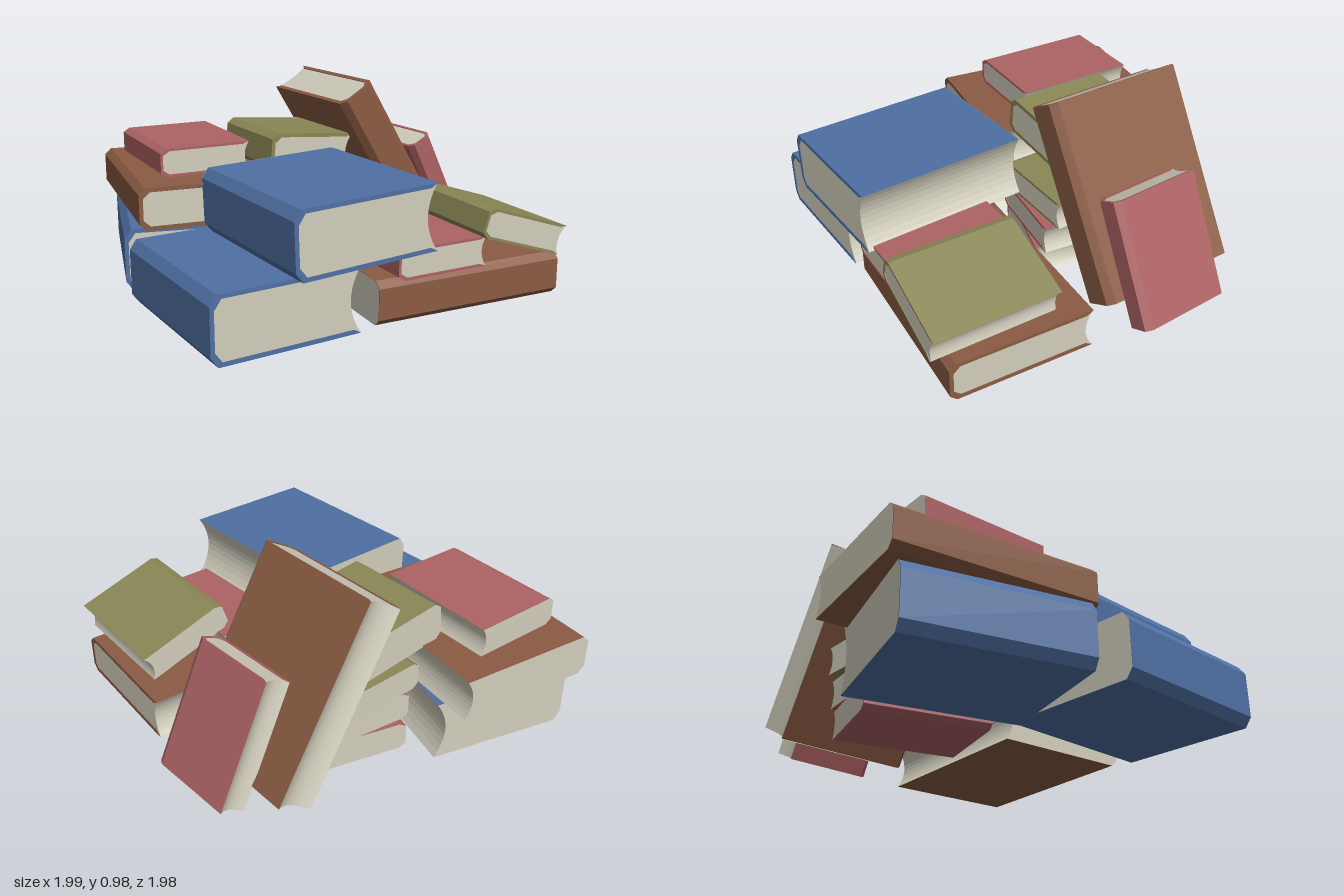
import * as THREE from 'three';

const mat = (name, color, side = THREE.FrontSide) => {
  const m = new THREE.MeshStandardMaterial({ color, side });
  m.name = name;
  return m;
};

// Half-outline of a book section: chamfered spine at -x, inset by t from the cover
function spineOutline(w, h, t) {
  const x = -w / 2 + t, y = h / 2 - t, cx = 0.034, cy = h * 0.15;
  return [[x + cx, y], [x, y - cy], [x, -y + cy], [x + cx, -y]];
}

// Hollow fore-edge, running from the bottom tip to the top tip
function foreEdge(w, h) {
  const pts = [], depth = h * 0.17, n = 10;
  for (let i = 0; i <= n; i++) {
    const s = -1 + (2 * i) / n;
    pts.push([w / 2 - depth * (1 - s * s), (s * h) / 2]);
  }
  return pts;
}

const toShape = (pts) => new THREE.Shape(pts.map(([x, y]) => new THREE.Vector2(x, y)));

function prism(shape, from, to) {
  const g = new THREE.ExtrudeGeometry(shape, { depth: to - from, bevelEnabled: false });
  return g.translate(0, 0, from);
}

// One book: spine at -x, thickness along y, head at +z, centred on its origin
function makeBook(name, [w, h, len], coverMat, pageMat) {
  const rim = h > 0.17 ? 0.02 : 0.013;
  const outer = spineOutline(w, h, 0);
  const inner = spineOutline(w, h, rim);
  const fore = foreEdge(w, h);
  const bottomTip = fore[0], topTip = fore[fore.length - 1];
  const innerTop = [w / 2 - 0.035, h / 2 - rim], innerBottom = [w / 2 - 0.035, -h / 2 + rim];

  const book = new THREE.Group();
  book.name = name;
  const add = (part, geo, m) => {
    const mesh = new THREE.Mesh(geo, m);
    mesh.name = part;
    book.add(mesh);
  };

  // cover wraps both boards and the spine
  const wrap = [topTip, ...outer, bottomTip, innerBottom, ...inner.slice().reverse(), innerTop];
  add('cover', prism(toShape(wrap), -len / 2, len / 2), coverMat);

  // page block with hollow fore-edge
  const block = [...fore, innerTop, ...inner, innerBottom];
  add('pages', prism(toShape(block), -len / 2, len / 2 - 0.004), pageMat);

  // plain page-coloured tail end
  const tail = new THREE.ShapeGeometry(toShape([...fore, ...outer]));
  add('tailEnd', tail.translate(0, 0, -len / 2 - 0.002), pageMat);
  return book;
}

export function createModel() {
  const root = new THREE.Group();
  root.name = 'bookPile';

  const blue = mat('blueCover', 0x4f70a3);
  const brown = mat('brownCover', 0x8a5b43);
  const red = mat('redCover', 0xad6264);
  const olive = mat('oliveCover', 0x8a8756);
  const page = mat('pagePaper', 0xd2cebd, THREE.DoubleSide);

  // sizes: width, thickness, length
  const thick = [0.73, 0.315, 0.87];
  const large = [0.735, 0.212, 0.995];
  const small = [0.48, 0.145, 0.64];
  const chunky = [0.48, 0.2, 0.54];
  const Q = Math.PI / 2;

  // name, size, cover, centre, yaw, lean, spin of the book in its own plane
  const books = [
    ['frontLeftLowerBook', thick, blue, [-0.545, 0.158, 0.478], 0.225, 0, 0],
    ['frontLeftUpperBook', thick, blue, [-0.187, 0.488, 0.478], 0.225, 0.03, 0],
    ['frontRightLowerBook', large, brown, [0.45, 0.106, 0.368], 0, 0, 1.697],
    ['frontRightMiddleBook', small, red, [0.27, 0.286, 0.462], 0.165, 0, 0],
    ['frontRightSlantedBook', small, olive, [0.69, 0.37, 0.455], 0.16, -0.32, 0],
    ['backLeftLowerBook', thick, blue, [-0.6, 0.158, -0.44], -0.085, 0, 0],
    ['backLeftMiddleBook', large, brown, [-0.585, 0.424, -0.484], 0.042, 0, 0],
    ['backLeftTopBook', small, red, [-0.6, 0.604, -0.507], 0.15, 0, 0],
    ['middleBottomBook', small, red, [0.085, 0.073, -0.365], -0.085, 0, 0],
    ['middleSecondBook', small, red, [0.1, 0.218, -0.36], 0.06, 0, 0],
    ['middleThirdBook', small, olive, [0.08, 0.364, -0.38], 0.2, 0, 0],
    ['middleTopBook', chunky, olive, [-0.05, 0.61, -0.415], 0.2, -0.09, 0],
    ['leaningLargeBook', large, brown, [0.405, 0.496, -0.482], 0.2, 2.112, Q],
    ['leaningSmallBook', small, red, [0.74, 0.33, -0.485], 0.235, 2.026, Q],
  ];

  const Y = new THREE.Vector3(0, 1, 0), Z = new THREE.Vector3(0, 0, 1);
  const turn = (axis, a) => new THREE.Quaternion().setFromAxisAngle(axis, a);
  for (const [name, size, cover, centre, yaw, lean, spin] of books) {
    const book = makeBook(name, size, cover, page);
    book.position.set(...centre);
    book.quaternion.copy(turn(Y, yaw)).multiply(turn(Z, lean)).multiply(turn(Y, spin));
    root.add(book);
  }
  return root;
}
